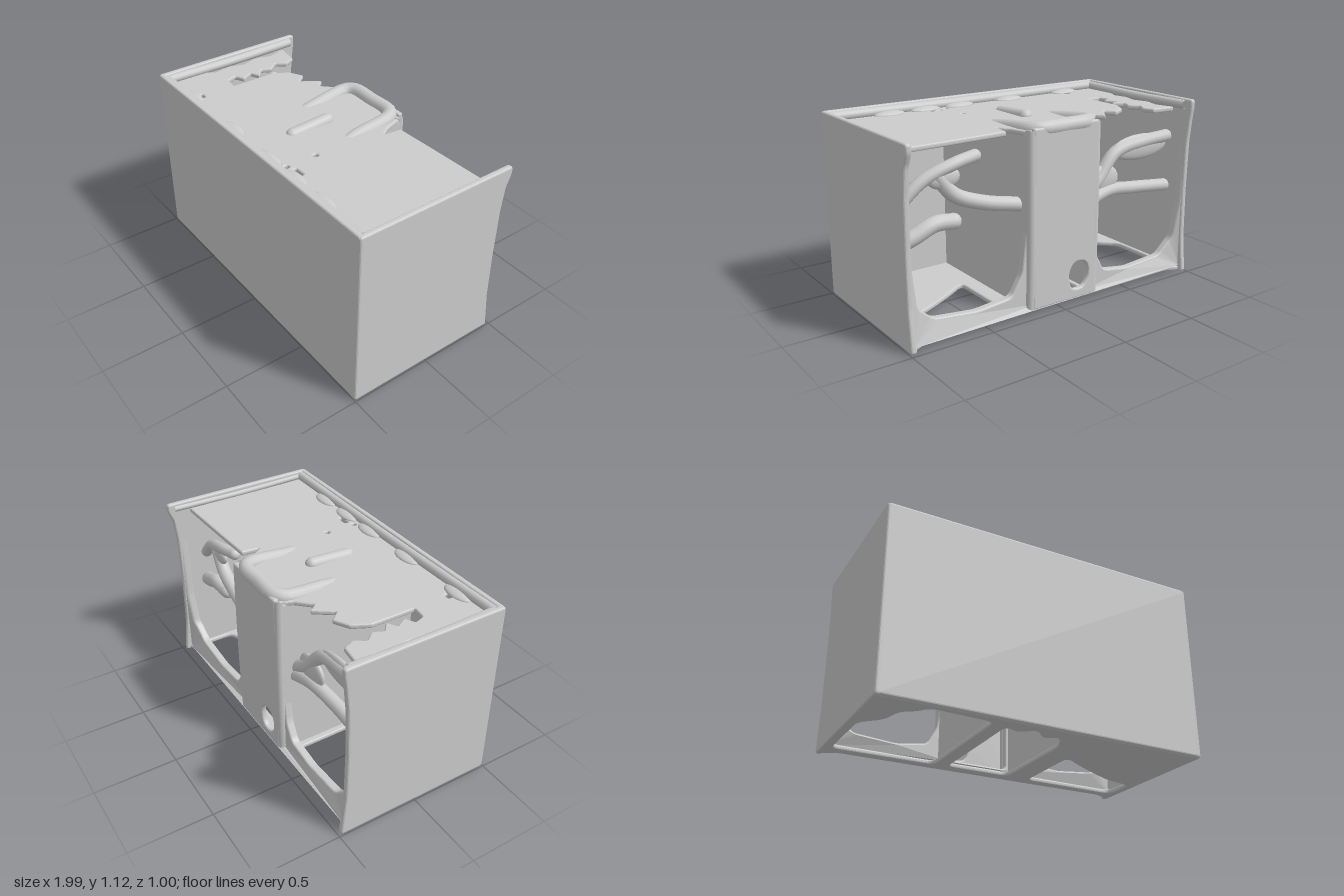
import * as THREE from 'three';

const material = new THREE.MeshStandardMaterial({ color: 0xcccccc, side: THREE.DoubleSide });

// Closed outline with every corner rounded by up to r
function trace(path, pts, r) {
  const v = pts.map(p => new THREE.Vector2(p[0], p[1]));
  v.forEach((p, i) => {
    const a = v[(i + v.length - 1) % v.length], b = v[(i + 1) % v.length];
    const cut = q => p.clone().lerp(q, Math.min(0.45, r / p.distanceTo(q)));
    const s = cut(a), e = cut(b);
    if (i === 0) path.moveTo(s.x, s.y); else path.lineTo(s.x, s.y);
    path.quadraticCurveTo(p.x, p.y, e.x, e.y);
  });
  path.closePath();
  return path;
}

const rect = (x0, x1, y0, y1) => [[x0, y0], [x1, y0], [x1, y1], [x0, y1]];

// Thin plate with soft edges, occupying 0..t along its extrusion axis
function plate(pts, holes, t, r = 0.02, holeR = 0.06) {
  const shape = trace(new THREE.Shape(), pts, r);
  shape.holes = holes.map(h => trace(new THREE.Path(), h, holeR));
  const b = Math.min(0.012, t * 0.35);
  const g = new THREE.ExtrudeGeometry(shape, {
    depth: t - 2 * b, bevelThickness: b, bevelSize: b, bevelOffset: -b, bevelSegments: 3, curveSegments: 6,
  });
  return g.translate(0, 0, b);
}

// Horizontal plate drawn in (x, z)
function flat(pts, holes, y, t, r, holeR) {
  const flip = list => list.map(([x, z]) => [x, -z]);
  return plate(flip(pts), holes.map(flip), t, r, holeR).rotateX(-Math.PI / 2).translate(0, y, 0);
}

// Upright plate drawn in (z, y), its +x face at the given x
function upright(pts, x, t, r) {
  return plate(pts, [], t, r).rotateY(-Math.PI / 2).translate(x, 0, 0);
}

function tube(pts, r) {
  const curve = new THREE.CatmullRomCurve3(pts.map(p => new THREE.Vector3(...p)));
  return new THREE.TubeGeometry(curve, 40, r, 12);
}

export function createModel() {
  const group = new THREE.Group();
  const add = (name, geometry) => {
    const m = new THREE.Mesh(geometry, material);
    m.name = name;
    group.add(m);
    return m;
  };
  const ball = (name, p, s) => {
    const m = add(name, new THREE.SphereGeometry(1, 16, 12));
    m.position.set(...p);
    m.scale.set(...s);
  };

  // Front panel and side panels that flare at the back corners
  add('frontPanel', plate(rect(-0.99, 0.99, 0.01, 1.12), [], 0.035).translate(0, 0, 0.465));
  const side = top => [[0.5, 0.005], [0.5, 1.12], [top, 1.12], [top, 1.07], [-0.475, 1.0], [-0.46, 0.85],
    [-0.455, 0.55], [-0.46, 0.25], [-0.485, 0.005]];
  add('leftPanel', upright(side(-0.505), 0.995, 0.035));
  add('rightPanel', upright(side(-0.485), -0.96, 0.035));

  // Raised lip around the front and sides of the top
  add('frontLip', tube([[-0.96, 1.085, 0.46], [0, 1.08, 0.46], [0.96, 1.085, 0.46]], 0.03));
  add('leftLip', tube([[0.967, 1.085, 0.46], [0.968, 1.078, 0], [0.968, 1.085, -0.46]], 0.02));
  add('rightLip', tube([[-0.955, 1.085, 0.46], [-0.957, 1.078, 0], [-0.955, 1.085, -0.44]], 0.028));
  for (const x of [-0.7, -0.25, 0.12, 0.36, 0.6]) ball('lipSwelling', [x, 1.065, 0.43], [0.1, 0.022, 0.05]);

  // Top with a torn right rear edge and a few tears through it
  add('topPanel', flat(
    [[-0.98, 0.48], [0.98, 0.48], [0.98, -0.36], [0.6, -0.35], [0.3, -0.34], [0.29, -0.23], [0.25, -0.29],
      [0.21, -0.42], [-0.27, -0.42], [-0.3, -0.35], [-0.38, -0.27], [-0.42, -0.32], [-0.5, -0.21], [-0.55, -0.27],
      [-0.64, -0.22], [-0.69, -0.12], [-0.69, 0.15], [-0.77, 0.14], [-0.79, 0.08], [-0.73, 0.05], [-0.77, -0.02],
      [-0.71, -0.05], [-0.77, -0.1], [-0.74, -0.16], [-0.79, -0.22], [-0.75, -0.28], [-0.78, -0.35],
      [-0.93, -0.37], [-0.9, -0.25], [-0.93, -0.15], [-0.9, -0.05], [-0.93, 0.05], [-0.91, 0.15], [-0.98, 0.25]],
    [rect(0.225, 0.25, 0.19, 0.22), rect(0.225, 0.25, 0.38, 0.41), rect(0.28, 0.35, 0.36, 0.385),
      rect(-0.71, -0.67, 0.36, 0.385)],
    1.035, 0.03, 0.01, 0.012));

  // Raised U-shaped rim that fades into the top, and the small grip ridge
  add('columnRim', tube([[-0.22, 1.01, 0.02], [-0.23, 1.035, -0.12], [-0.24, 1.062, -0.36], [-0.2, 1.067, -0.405],
    [-0.04, 1.067, -0.41], [0.12, 1.067, -0.405], [0.165, 1.062, -0.36], [0.18, 1.035, -0.12], [0.2, 1.01, 0.02]], 0.045));
  add('gripRidge', new THREE.CapsuleGeometry(0.04, 0.24, 6, 14).rotateX(Math.PI / 2 + 0.06).translate(-0.025, 1.055, 0.055));

  // Back sill, sweeping up the corners and the foot of the column, curling out at the sides
  const sill = plate(
    [[-0.98, 0.01], [-0.92, 0.01], [-0.85, 0.01], [0, 0.01], [0.85, 0.01], [0.92, 0.01], [0.98, 0.01], [0.98, 1.06],
      [0.965, 1.06], [0.95, 0.45], [0.92, 0.23], [0.82, 0.14], [0.55, 0.11], [0.32, 0.13], [0.25, 0.25], [0.22, 0.5],
      [0.17, 0.5], [0.17, 0.06], [-0.24, 0.06], [-0.24, 0.5], [-0.27, 0.5], [-0.3, 0.25], [-0.36, 0.14],
      [-0.55, 0.11], [-0.82, 0.13], [-0.92, 0.23], [-0.95, 0.45], [-0.965, 1.06], [-0.98, 1.06]], [], 0.05, 0.03);
  const p = sill.attributes.position;
  for (let i = 0; i < p.count; i++) {
    const out = Math.max(0, (Math.abs(p.getX(i)) - 0.86) / 0.12);
    p.setZ(i, p.getZ(i) - 0.415 - 0.045 * out * out);
  }
  sill.computeVertexNormals();
  add('backSill', sill);

  // Central column: pierced back face, rounded corners and two partitions running forward
  add('columnBack', plate(rect(-0.265, 0.195, 0.03, 1.08),
    [[[-0.08, 0.09], [-0.06, 0.19], [-0.1, 0.26], [-0.19, 0.25], [-0.215, 0.16], [-0.17, 0.085]]], 0.035, 0.01, 0.05)
    .translate(0, 0, -0.45));
  for (const x of [0.19, -0.255]) {
    add('columnCorner', tube([[x, 0.03, -0.415], [x, 0.5, -0.42], [x, 1.07, -0.415]], 0.032));
  }
  for (const x of [0.22, -0.255]) {
    add('partition', upright(rect(-0.42, 0.48, 0.02, 1.05), x, 0.03));
  }

  // Floor frame with three openings
  add('floor', flat(
    [[-0.98, 0.49], [0.98, 0.49], [0.98, -0.465], [0.88, -0.415], [-0.88, -0.415], [-0.98, -0.465]], [
    [[0.32, -0.35], [0.94, -0.36], [0.94, -0.15], [0.75, -0.11], [0.6, -0.04], [0.45, 0.04], [0.32, 0.12]],
    [[-0.23, -0.34], [0.17, -0.34], [0.17, 0.26], [0.1, 0.4], [0.02, 0.34], [-0.06, 0.44], [-0.14, 0.36], [-0.23, 0.4]],
    [[-0.94, -0.35], [-0.32, -0.35], [-0.32, 0.43], [-0.68, 0.45], [-0.73, 0.38], [-0.8, 0.34], [-0.83, 0.2], [-0.94, 0.1]],
  ], 0.005, 0.03, 0.02, 0.05));

  // Irregular branching struts inside the rear bays
  const struts = [
    [[[0.95, 0.53, -0.28], [0.86, 0.57, -0.3], [0.74, 0.62, -0.31], [0.62, 0.61, -0.3]], 0.045],
    [[[0.94, 0.74, -0.28], [0.8, 0.86, -0.3], [0.62, 0.93, -0.32], [0.48, 0.95, -0.3]], 0.035],
    [[[0.72, 0.88, -0.3], [0.62, 0.76, -0.31], [0.45, 0.69, -0.32], [0.22, 0.64, -0.33]], 0.042],
    [[[-0.26, 0.55, -0.33], [-0.45, 0.6, -0.32], [-0.65, 0.58, -0.3], [-0.94, 0.55, -0.3]], 0.04],
    [[[-0.26, 0.6, -0.32], [-0.38, 0.68, -0.31], [-0.52, 0.82, -0.3], [-0.75, 0.86, -0.3], [-0.94, 0.87, -0.3]], 0.04],
  ];
  for (const [pts, r] of struts) {
    add('bayStrut', tube(pts, r));
    for (const end of [pts[0], pts[pts.length - 1]]) ball('strutEnd', end, [Math.min(r, 0.99 - Math.abs(end[0])), r, r]);
  }
  // Webs where the struts spread out
  ball('strutWeb', [-0.42, 0.67, -0.31], [0.12, 0.09, 0.03]);
  ball('strutWeb', [-0.72, 0.83, -0.3], [0.23, 0.08, 0.03]);
  ball('strutWeb', [0.68, 0.86, -0.31], [0.1, 0.06, 0.03]);
  return group;
}
